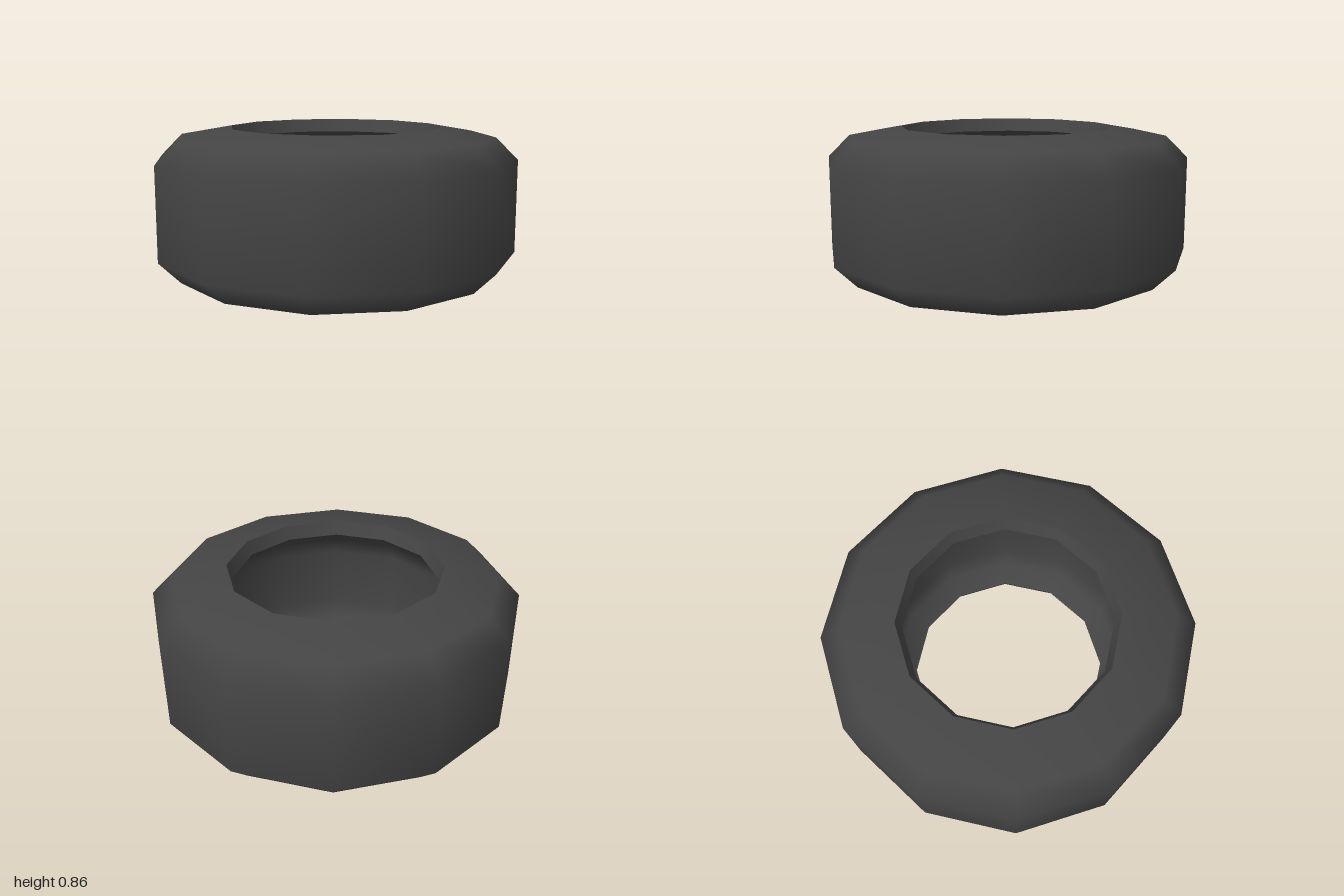
import * as THREE from 'three';

const HEIGHT = 0.857;
const SIDES = 12;

// Completes an upper half-profile with its mirror image below mid height.
const mirrored = (half) => [...half, ...half.map(([r, y]) => [r, HEIGHT - y]).reverse()];

export function createModel() {
  const tyre = new THREE.Group();
  tyre.name = 'tyre';
  const rubber = new THREE.MeshStandardMaterial({ color: 0x444444 });

  // Each profile is listed so that its faces point away from the rubber.
  const addRing = (name, profile) => {
    const points = profile.map(([r, y]) => new THREE.Vector2(r, y));
    const mesh = new THREE.Mesh(new THREE.LatheGeometry(points, SIDES), rubber);
    mesh.name = name;
    tyre.add(mesh);
  };

  // Tread and both sidewalls, bottom to top
  addRing('treadAndSidewalls', mirrored([[0.585, 0], [0.88, 0.052], [1, 0.172]]).map(([r, y]) => [r, y]));

  // Bead lips around the two openings
  addRing('upperLip', [[0.585, HEIGHT], [0.555, 0.782]]);
  addRing('lowerLip', [[0.555, 0.075], [0.585, 0]]);

  // Hollow inside, top to bottom
  addRing('innerWall', mirrored([[0.555, 0.782], [0.66, 0.7], [0.7, 0.6]]));

  return tyre;
}
